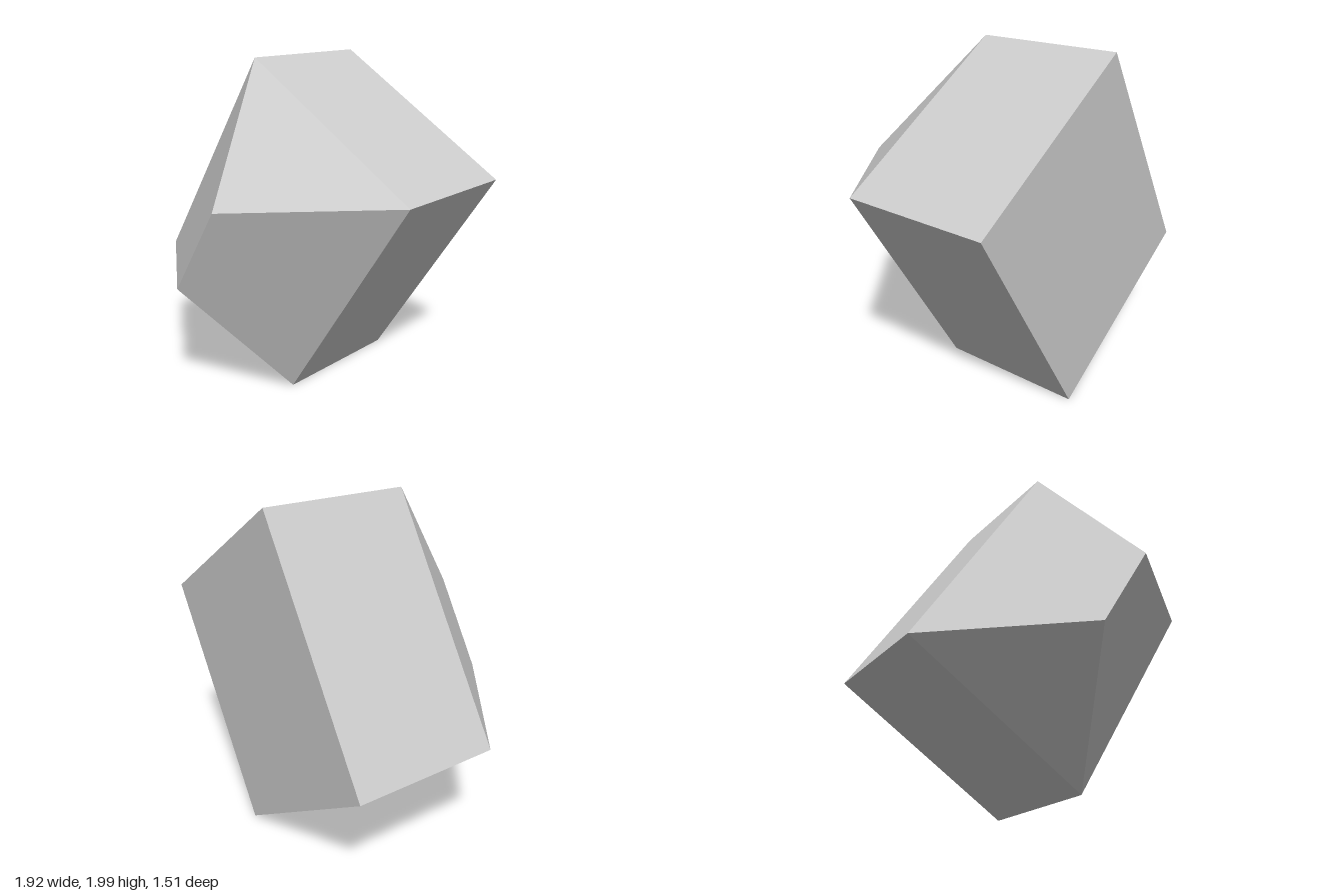
import * as THREE from 'three';

// Rectangle of four corners, counter-clockwise seen from +z
const ring = (w, h, z) => [[-1, -1], [1, -1], [1, 1], [-1, 1]]
  .map(([x, y]) => new THREE.Vector3(x * w / 2, y * h / 2, z));

// Flat-shaded surface from a list of outward-facing polygons
function facets(name, polygons) {
  const points = [];
  for (const p of polygons) {
    for (let i = 1; i < p.length - 1; i++) {
      if (p[i].equals(p[i + 1]) || p[0].equals(p[i])) continue;
      points.push(p[0], p[i], p[i + 1]);
    }
  }
  const geometry = new THREE.BufferGeometry().setFromPoints(points);
  geometry.computeVertexNormals();
  const mesh = new THREE.Mesh(geometry, new THREE.MeshStandardMaterial({ color: 0xcccccc, flatShading: true }));
  mesh.name = name;
  return mesh;
}

// Side faces joining two rings
const sides = (a, b) => a.map((p, i) => {
  const j = (i + 1) % a.length;
  return [p, a[j], b[j], b[i]];
});

export function createModel() {
  const group = new THREE.Group();
  group.name = 'hippedBlock';

  const base = ring(1.314, 1.531, -0.755);
  const eaves = ring(1.314, 1.531, 0.123);
  const ridge = ring(0, 0.6, 0.755);

  // Block closed at the back, with a hipped roof facing forward
  const tilted = new THREE.Group();
  tilted.name = 'tiltedBlock';
  tilted.add(
    facets('body', [...sides(base, eaves), [...base].reverse()]),
    facets('hippedRoof', sides(eaves, ridge)),
  );

  // Whole solid leans to the side and stands on one edge
  tilted.rotation.z = THREE.MathUtils.degToRad(-31.9);
  tilted.position.y = 1;
  group.add(tilted);
  return group;
}
